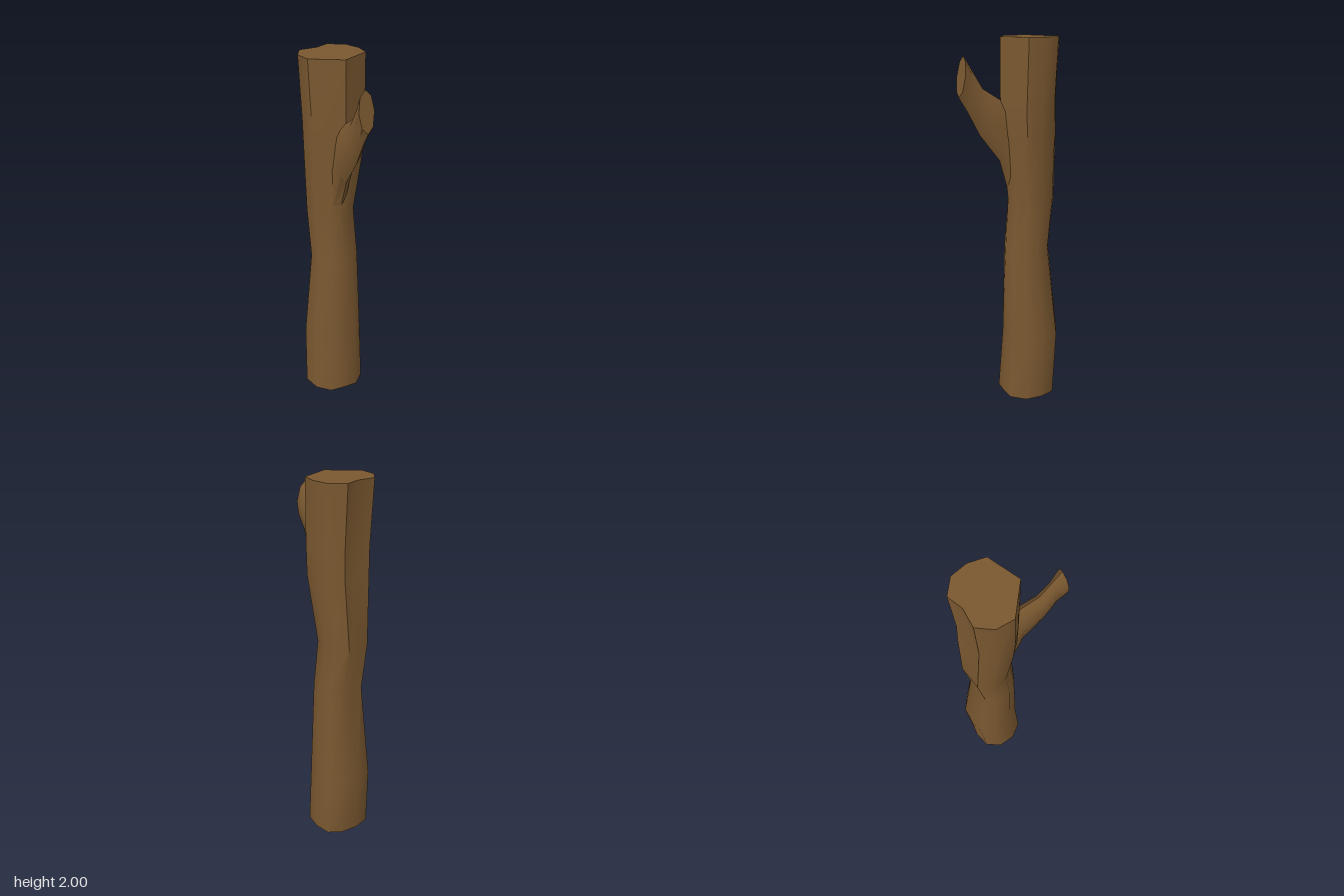
import * as THREE from 'three';
import { toCreasedNormals } from 'three/addons/utils/BufferGeometryUtils.js';

// Closed solid through a list of rings, each an array of Vector3
function loft(rings) {
  const n = rings[0].length;
  const points = rings.flat();
  const index = [];
  for (let i = 0; i < rings.length - 1; i++) {
    for (let j = 0; j < n; j++) {
      const a = i * n + j, b = i * n + (j + 1) % n;
      index.push(a, b, b + n, a, b + n, a + n);
    }
  }
  // End caps fan out from each end's centre
  for (const end of [0, rings.length - 1]) {
    const centre = new THREE.Vector3();
    rings[end].forEach((p) => centre.addScaledVector(p, 1 / n));
    const c = points.push(centre) - 1;
    for (let j = 0; j < n; j++) {
      const a = end * n + j, b = end * n + (j + 1) % n;
      if (end) index.push(c, a, b);
      else index.push(c, b, a);
    }
  }
  const geometry = new THREE.BufferGeometry().setFromPoints(points);
  geometry.setIndex(index);
  return toCreasedNormals(geometry, 0.85);
}

// Outlines (x, z) of the two ends of the trunk
const bottomOutline = [
  [-0.163, -0.16], [-0.155, -0.06], [-0.1, 0.015], [-0.02, 0.03], [0.065, 0.04], [0.14, -0.02],
  [0.155, -0.11], [0.14, -0.2], [0.07, -0.245], [-0.02, -0.255], [-0.11, -0.235],
];
const topOutline = [
  [-0.165, -0.16], [-0.165, -0.065], [-0.095, -0.01], [-0.02, 0.05], [0.06, 0.016], [0.145, -0.02],
  [0.163, -0.11], [0.145, -0.2], [0.07, -0.26], [-0.01, -0.23], [-0.11, -0.235],
];

// Trunk levels: y, left, right, back, front
const trunkLevels = [
  [0, -0.163, 0.155, -0.255, 0.04],
  [0.35, -0.15, 0.152, -0.275, 0.02],
  [0.87, -0.122, 0.12, -0.215, 0.02],
  [1.14, -0.125, 0.11, -0.255, 0],
  [1.5, -0.148, 0.153, -0.245, 0.045],
  [1.66, -0.155, 0.156, -0.24, 0.05],
  [2, -0.165, 0.163, -0.26, 0.05],
];

// Blend the end outlines and fit them to the extents of the level
function trunkRing([y, left, right, back, front]) {
  const t = y / 2;
  const blend = bottomOutline.map((p, i) => p.map((v, k) => THREE.MathUtils.lerp(v, topOutline[i][k], t)));
  const xs = blend.map((p) => p[0]), zs = blend.map((p) => p[1]);
  const fit = (v, all, lo, hi) => THREE.MathUtils.mapLinear(v, Math.min(...all), Math.max(...all), lo, hi);
  return blend.map(([x, z]) => new THREE.Vector3(fit(x, xs, left, right), y, fit(z, zs, back, front)));
}

// Branch sections: lower z, lower y, upper z, upper y, left, right
const branchSections = [
  [-0.02, 1.12, 0, 1.66, -0.07, 0.03],
  [0.055, 1.36, 0.05, 1.68, -0.07, 0.03],
  [0.165, 1.5, 0.145, 1.74, -0.072, 0.003],
  [0.235, 1.63, 0.2, 1.83, -0.072, -0.01],
  [0.28, 1.7, 0.25, 1.91, -0.09, 0],
];

function branchRing([z0, y0, z1, y1, left, right]) {
  return Array.from({ length: 8 }, (_, i) => {
    const a = (i / 8) * Math.PI * 2;
    const h = (1 + Math.sin(a)) / 2, w = (1 + Math.cos(a)) / 2;
    const { lerp } = THREE.MathUtils;
    return new THREE.Vector3(lerp(left, right, w), lerp(y0, y1, h), lerp(z0, z1, h));
  });
}

export function createModel() {
  const wood = new THREE.MeshStandardMaterial({ color: 0x7a5830 });
  wood.name = 'brown wood';
  const group = new THREE.Group();
  group.name = 'log';

  const trunk = new THREE.Mesh(loft(trunkLevels.map(trunkRing)), wood);
  trunk.name = 'trunk';
  const branch = new THREE.Mesh(loft(branchSections.map(branchRing)), wood);
  branch.name = 'branchStub';
  group.add(trunk, branch);
  return group;
}
